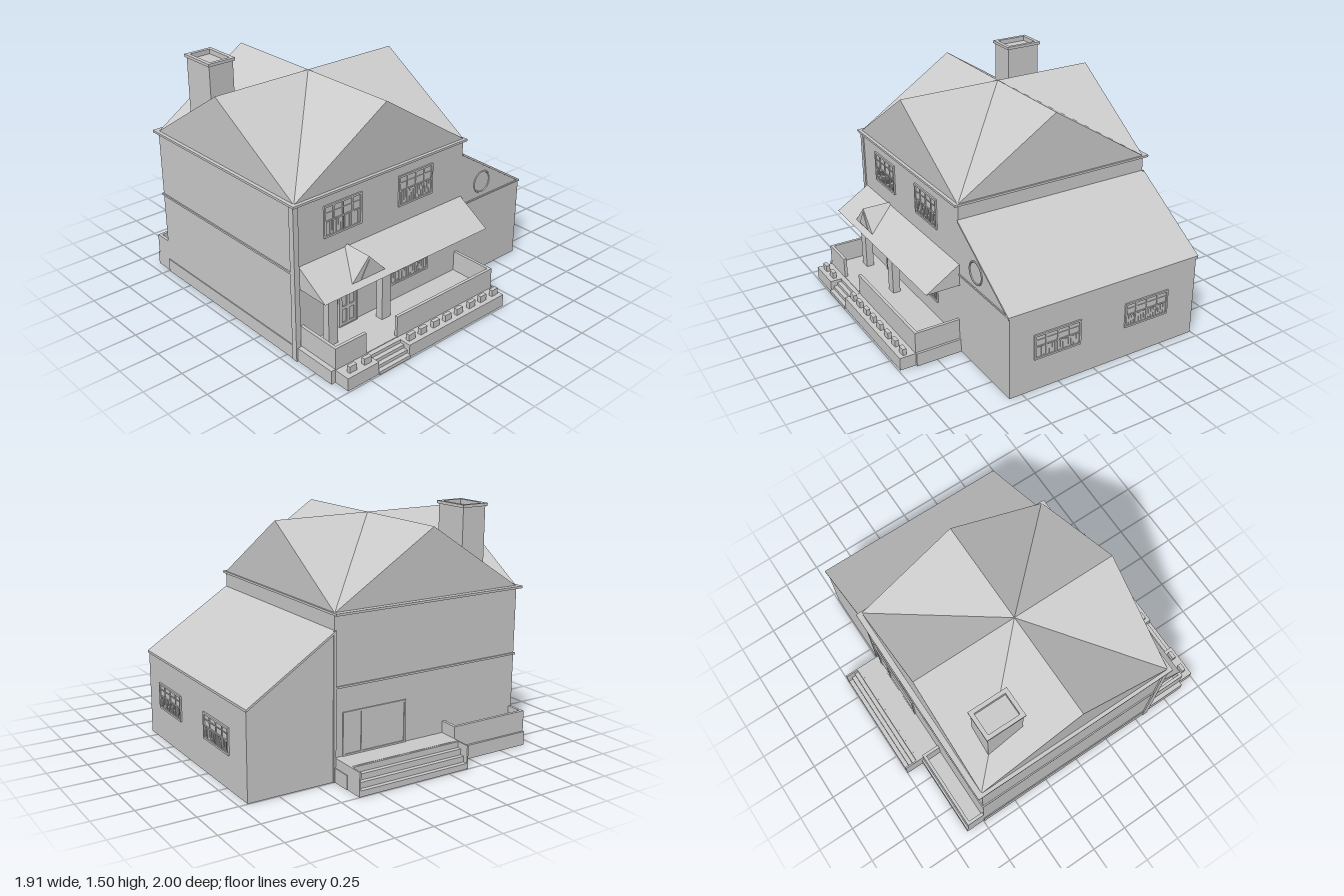
import * as THREE from 'three';

const mat = new THREE.MeshStandardMaterial({ color: 0xcccccc, flatShading: true, side: THREE.DoubleSide });

function add(parent, name, geo) {
  const m = new THREE.Mesh(geo, mat);
  m.name = name;
  parent.add(m);
  return m;
}

// box given by its min and max on each axis
function box(parent, name, x0, x1, y0, y1, z0, z1) {
  const g = new THREE.BoxGeometry(x1 - x0, y1 - y0, z1 - z0);
  g.translate((x0 + x1) / 2, (y0 + y1) / 2, (z0 + z1) / 2);
  return add(parent, name, g);
}

// polygon extruded along z (points are x,y) or along x (points are z,y)
function prism(parent, name, pts, axis, from, to) {
  const shape = new THREE.Shape(pts.map(p => new THREE.Vector2(p[0], p[1])));
  const g = new THREE.ExtrudeGeometry(shape, { depth: to - from, bevelEnabled: false });
  if (axis === 'x') g.rotateY(-Math.PI / 2).translate(to, 0, 0);
  else g.translate(0, 0, from);
  return add(parent, name, g);
}

function rectPath(x0, x1, y0, y1) {
  return new THREE.Shape([[x0, y0], [x1, y0], [x1, y1], [x0, y1]].map(p => new THREE.Vector2(...p)));
}

// flat frame with openings, facing +z
function frame(parent, name, outer, holes, depth) {
  outer.holes.push(...holes);
  return add(parent, name, new THREE.ExtrudeGeometry(outer, { depth, bevelEnabled: false }));
}

// window centred on its own origin, facing +z
function makeWindow(parent, name, w, h) {
  const g = new THREE.Group();
  g.name = name;
  const a = w / 2, b = h / 2, t = 0.012;
  frame(g, 'windowFrame', rectPath(-a, a, -b, b), [rectPath(-a + t, a - t, -b + t, b - t)], 0.01);
  box(g, 'windowPane', -a + t, a - t, -b + t, b - t, -0.004, 0.002);
  box(g, 'middleRail', -a + t, a - t, -0.004, 0.004, 0, 0.008);
  for (const i of [-1, 0, 1]) box(g, 'mullion', i * w / 4 - 0.004, i * w / 4 + 0.004, -b + t, b - t, 0, 0.007);
  box(g, 'upperMuntin', -a + t, a - t, b / 2 - 0.003, b / 2 + 0.003, 0, 0.006);
  for (let i = 1; i < 16; i++) {
    const x = -a + t + (w - 2 * t) * i / 16;
    box(g, 'lowerBar', x - 0.002, x + 0.002, -b + t, 0, 0, 0.005);
  }
  parent.add(g);
  return g;
}

// four steps rising towards the house; dir is the side they face along z
function steps(parent, name, x0, x1, zIn, zOut, top, dir) {
  for (let i = 0; i < 4; i++) {
    const end = zOut - dir * 0.028 * (3 - i);
    box(parent, name, x0, x1, 0, top * (4 - i) / 4, Math.min(zIn, end), Math.max(zIn, end));
  }
}

export function createModel() {
  const house = new THREE.Group();
  house.name = 'house';
  const L = -0.94, R = 0.385, F = 0.585, B = -0.745, CX = -0.28, CZ = -0.08, RIDGE = 1.425;

  // main block with trims
  box(house, 'mainWalls', L, R, 0, 1, B, F);
  box(house, 'eaves', -0.96, 0.395, 0.988, 1.002, -0.78, 0.61);
  box(house, 'backBand', L - 0.008, R, 0.56, 0.572, B - 0.008, B);
  box(house, 'sideBand', L - 0.008, L, 0.56, 0.572, B, F);
  box(house, 'foundation', L - 0.006, L, 0, 0.09, B, F);
  box(house, 'cornerPost', -0.95, -0.915, 0, 0.99, F - 0.03, F + 0.008);
  box(house, 'backCornerPost', R - 0.008, R + 0.008, 0, 0.9, B - 0.008, B);

  // crossing gable roofs, ridges pushed out a little past the gable feet
  const roofs = [
    prism(house, 'frontBackRoof', [[L + 0.005, 1], [R, 1], [CX, RIDGE]], 'z', B, F + 0.003),
    prism(house, 'sideRoof', [[B, 1], [F, 1], [CZ, RIDGE]], 'x', L + 0.003, R),
  ];
  roofs.forEach((roof, i) => {
    const p = roof.geometry.attributes.position;
    for (let k = 0; k < p.count; k++) {
      if (p.getY(k) < 1.2) continue;
      if (i === 0) p.setZ(k, p.getZ(k) > 0 ? 0.603 : -0.757);
      else p.setX(k, p.getX(k) > 0 ? R : -0.952);
    }
  });

  // hollow chimney
  const ring = (name, w, d, y0, y1, t) => {
    const m = frame(house, name, rectPath(-w, w, -d, d), [rectPath(-w + t, w - t, -d + t, d - t)], y1 - y0);
    m.geometry.rotateX(-Math.PI / 2).translate(-0.705, y0, -0.483);
  };
  ring('chimneyStack', 0.085, 0.117, 1.05, 1.49, 0.015);
  ring('chimneyCap', 0.095, 0.127, 1.487, 1.505, 0.025);
  box(house, 'chimneyTop', -0.775, -0.635, 1.46, 1.475, -0.588, -0.378);

  // side wing with a single slope
  prism(house, 'wingWalls', [[R, 0], [0.945, 0], [0.945, 0.54], [R, 0.89]], 'z', B, F);
  prism(house, 'wingRoof', [[R, 0.885], [0.95, 0.53], [0.95, 0.545], [R, 0.9]], 'z', B - 0.012, F + 0.008);
  box(house, 'wingBand', R, 0.945, 0.535, 0.545, F, F + 0.006);
  const vent = add(house, 'roundVent', new THREE.TorusGeometry(0.07, 0.006, 6, 32));
  vent.position.set(0.58, 0.645, F);

  // windows
  for (const x of [-0.592, -0.02]) makeWindow(house, 'upperWindow', 0.28, 0.2).position.set(x, 0.82, F);
  makeWindow(house, 'lowerWindow', 0.32, 0.175).position.set(-0.06, 0.288, F);
  for (const z of [0.262, -0.377]) {
    const w = makeWindow(house, 'wingWindow', 0.32, 0.165);
    w.rotation.y = Math.PI / 2;
    w.position.set(0.945, 0.293, z);
  }

  // front door with arched upper panels
  const door = new THREE.Group();
  door.name = 'frontDoor';
  door.position.set(-0.56, 0.09, F);
  frame(door, 'doorFrame', rectPath(-0.07, 0.07, 0, 0.287), [rectPath(-0.06, 0.06, 0.004, 0.277)], 0.014);
  const holes = [];
  for (const x of [-0.028, 0.028]) {
    const arch = new THREE.Path();
    arch.moveTo(x - 0.018, 0.13).lineTo(x + 0.018, 0.13).lineTo(x + 0.018, 0.24);
    arch.absarc(x, 0.24, 0.018, 0, Math.PI, false);
    holes.push(arch, rectPath(x - 0.018, x + 0.018, 0.02, 0.108));
  }
  frame(door, 'doorLeaf', rectPath(-0.06, 0.06, 0, 0.277), holes, 0.01);
  box(door, 'doorPanels', -0.058, 0.058, 0, 0.275, -0.004, 0.003);
  house.add(door);

  // porch floor, front ledge and its small blocks
  box(house, 'porchFloor', L, R, 0, 0.088, F, 0.885);
  box(house, 'frontLedge', -0.91, -0.68, 0, 0.083, 0.885, 0.99);
  box(house, 'frontLedge', -0.44, 0.37, 0, 0.083, 0.885, 0.99);
  const blocks = [-0.845, -0.735, -0.39, -0.295, -0.19, -0.09, 0.01, 0.12, 0.22, 0.325];
  for (const x of blocks) box(house, 'ledgeBlock', x - 0.026, x + 0.026, 0.08, 0.125, 0.935, 0.96);
  steps(house, 'frontStep', -0.68, -0.44, 0.88, 0.999, 0.084, 1);

  // porch parapet
  const T = 0.02;
  box(house, 'porchParapet', -0.91, -0.68, 0.088, 0.222, 0.885 - T, 0.885);
  box(house, 'porchParapet', -0.44, 0.37, 0.088, 0.222, 0.885 - T, 0.885);
  box(house, 'parapetEnd', -0.91, -0.91 + T, 0.088, 0.222, F, 0.885 - T);
  box(house, 'parapetEnd', 0.37 - T, 0.37, 0.088, 0.222, F, 0.885 - T);

  // porch columns, roof and small gable above the door
  for (const x of [-0.765, -0.352]) box(house, 'porchColumn', x - 0.034, x + 0.034, 0.088, 0.49, 0.65, 0.7);
  prism(house, 'porchRoof', [[F, 0.467], [0.808, 0.467], [F, 0.607]], 'x', -0.913, R);
  prism(house, 'doorGable', [[-0.685, 0.49], [-0.435, 0.49], [-0.56, 0.622]], 'z', F, 0.772);
  prism(house, 'doorGablePanel', [[-0.62, 0.497], [-0.5, 0.497], [-0.56, 0.6]], 'z', 0.77, 0.776);

  // back terrace: plinth, low parapet, steps with cheek walls, sliding door
  box(house, 'backPlinth', L, R, 0, 0.088, -0.878, B);
  box(house, 'backParapet', L, -0.39, 0.088, 0.222, -0.865, -0.865 + T);
  box(house, 'backParapetEnd', L, L + T, 0.088, 0.222, -0.865 + T, B);
  box(house, 'backParapetEnd', -0.39 - T, -0.39, 0.088, 0.222, -0.865 + T, B);
  box(house, 'backLanding', -0.39, 0.38, 0, 0.148, -0.9, B);
  steps(house, 'backStep', -0.38, 0.37, -0.88, -0.997, 0.146, -1);
  for (const x of [-0.39, 0.37]) box(house, 'stepCheek', x, x + 0.01, 0, 0.148, -0.999, -0.9);
  const slider = new THREE.Group();
  slider.name = 'slidingDoor';
  slider.position.set(0.11, 0.148, B);
  slider.rotation.y = Math.PI;
  frame(slider, 'sliderFrame', rectPath(-0.22, 0.22, 0, 0.265),
    [rectPath(-0.208, -0.096, 0.01, 0.253), rectPath(-0.086, 0.208, 0.01, 0.253)], 0.008);
  box(slider, 'sliderPane', -0.21, 0.21, 0.001, 0.255, -0.004, 0.002);
  house.add(slider);

  return house;
}
